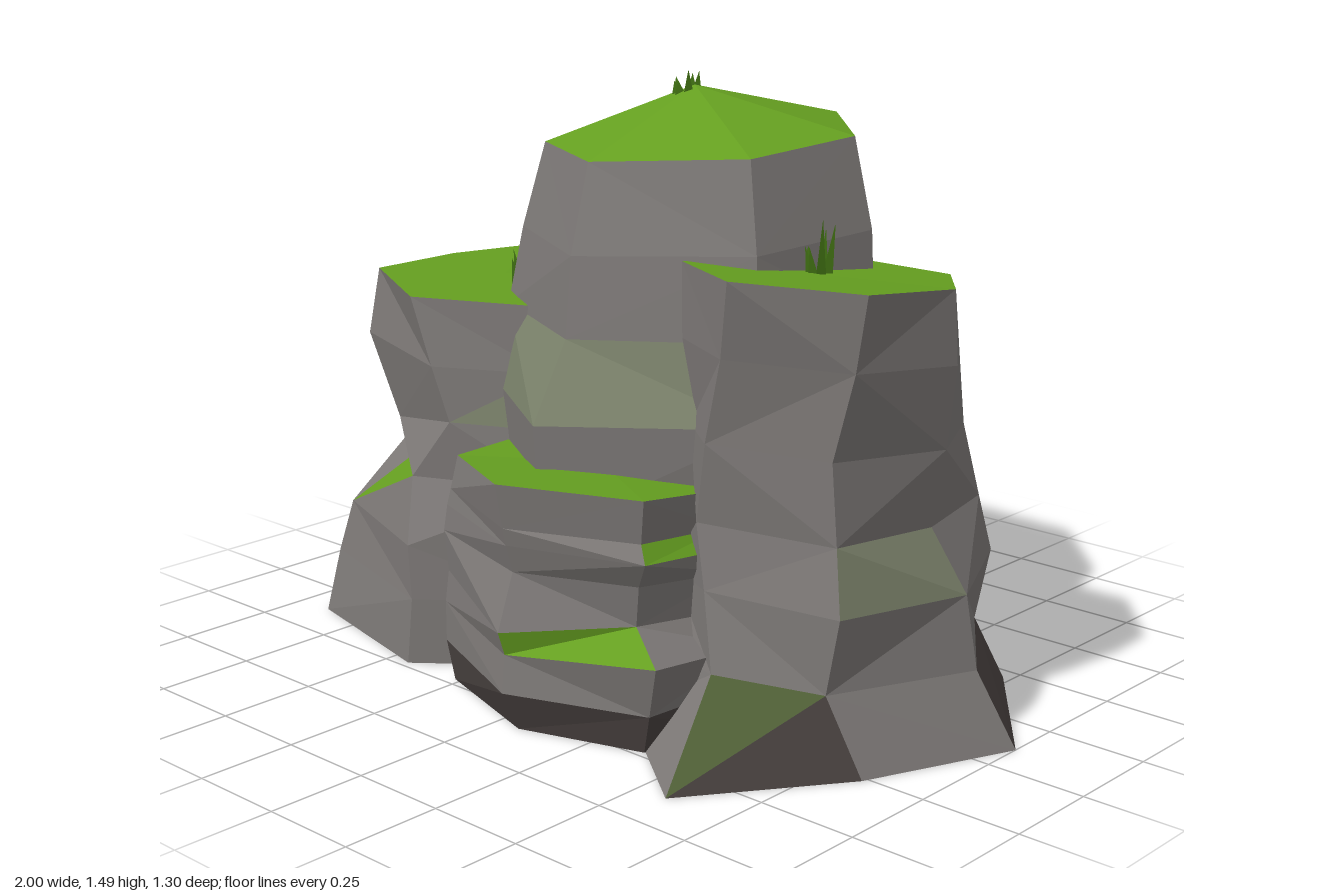
import * as THREE from 'three';

const paint = (name, color) => Object.assign(new THREE.MeshStandardMaterial({ color }), { name });
const MATERIALS = [
  paint('stone', 0x7d7977),
  paint('darkStone', 0x4a4341),
  paint('grass', 0x659f20),
  paint('moss', 0x7a816a),
  paint('darkMoss', 0x4c5c34),
  paint('grassBlade', 0x447614),
  paint('underside', 0x242222),
];
const [STONE, DARK, GRASS, MOSS, DARK_MOSS, BLADE, UNDER] = MATERIALS.keys();

// Faceted rock column: rings run from base to top as [height, radii per corner].
// nudges: [ring, corner, dx, dy, dz] moves one corner.
// patches: [band, side, material, half] paints a face, or one triangle of it.
function rock({ name, centre, angles, rings, tilt, apex, nudges, patches }) {
  const n = angles.length;
  const top = rings.length - 1;
  const points = rings.map(([y, radii], level) => radii.map((r, i) => {
    const a = THREE.MathUtils.degToRad(angles[i]);
    const x = r * Math.sin(a), z = r * Math.cos(a);
    const lean = level / top;
    return [centre[0] + x, y + lean * (tilt[0] * x + tilt[1] * z), centre[1] + z];
  }));
  for (const [ring, corner, ...move] of nudges) {
    move.forEach((d, axis) => { points[ring][corner][axis] += d; });
  }
  const buckets = MATERIALS.map(() => []);
  const tri = (m, a, b, c) => buckets[m].push(...a, ...b, ...c);

  // Faceted sides, with the diagonal alternating from face to face
  for (let k = 0; k < top; k++) {
    for (let i = 0; i < n; i++) {
      const j = (i + 1) % n;
      const a = points[k][i], b = points[k][j], c = points[k + 1][j], d = points[k + 1][i];
      const halves = (k + i) % 2 ? [[a, b, d], [b, c, d]] : [[a, b, c], [a, c, d]];
      halves.forEach((corners, h) => {
        const patch = patches.find(([band, side, , half = h]) => band === k && side === i && half === h);
        tri(patch ? patch[2] : STONE, ...corners);
      });
    }
  }
  // Grassy top and slightly hollow underside
  for (let i = 0; i < n; i++) {
    const j = (i + 1) % n;
    tri(GRASS, points[top][i], points[top][j], [centre[0], apex, centre[1]]);
    tri(UNDER, points[0][j], points[0][i], [centre[0], 0.03, centre[1]]);
  }

  const geometry = new THREE.BufferGeometry();
  let start = 0;
  buckets.forEach((bucket, m) => {
    if (!bucket.length) return;
    geometry.addGroup(start, bucket.length / 3, m);
    start += bucket.length / 3;
  });
  geometry.setAttribute('position', new THREE.Float32BufferAttribute(buckets.flat(), 3));
  geometry.computeVertexNormals();
  const mesh = new THREE.Mesh(geometry, MATERIALS);
  mesh.name = name;
  return mesh;
}

// Small clump of pointed, outward-leaning blades
function grassTuft(name, x, y, z, height, spread) {
  const tuft = new THREE.Group();
  tuft.name = name;
  for (let i = 0; i < 6; i++) {
    const a = i * 2.4;
    const h = height * (0.5 + 0.5 * ((i * 3) % 5) / 4);
    const geometry = new THREE.ConeGeometry(0.015, h, 3).toNonIndexed();
    geometry.translate(0, h / 2, 0);
    geometry.computeVertexNormals();
    const blade = new THREE.Mesh(geometry, MATERIALS[BLADE]);
    blade.name = 'grassBlade';
    blade.position.set(Math.sin(a) * spread, -0.01, Math.cos(a) * spread);
    blade.rotation.set(Math.cos(a) * 0.16, 0, -Math.sin(a) * 0.16);
    tuft.add(blade);
  }
  tuft.position.set(x, y, z);
  return tuft;
}

export function createModel() {
  const model = new THREE.Group();
  model.name = 'mossyRocks';

  model.add(rock({
    name: 'centreRock', centre: [0.02, -0.09], apex: 1.45, tilt: [0.04, -0.085],
    angles: [0, 59, 100, 150, 208, 260, 304],
    rings: [
      [0, [0.5, 0.5, 0.5, 0.48, 0.65, 0.5, 0.5]],
      [0.27, [0.5, 0.5, 0.5, 0.45, 0.58, 0.52, 0.5]],
      [0.46, [0.54, 0.5, 0.48, 0.52, 0.46, 0.46, 0.5]],
      [0.73, [0.56, 0.55, 0.5, 0.53, 0.45, 0.48, 0.52]],
      [0.92, [0.45, 0.5, 0.5, 0.44, 0.42, 0.53, 0.47]],
      [1.12, [0.43, 0.48, 0.49, 0.43, 0.44, 0.42, 0.43]],
      [1.335, [0.37, 0.43, 0.44, 0.37, 0.4, 0.4, 0.4]],
    ],
    nudges: [[6, 5, 0.01, -0.06, 0], [6, 6, 0.02, 0, -0.02], [4, 5, 0, 0.03, 0], [2, 4, 0, -0.04, 0]],
    patches: [[0, 3, DARK], [0, 4, DARK], [1, 4, GRASS], [1, 3, MOSS, 0], [3, 0, MOSS], [3, 6, MOSS], [4, 4, GRASS, 0]],
  }));

  model.add(rock({
    name: 'leftRock', centre: [0.52, 0.03], apex: 1.068, tilt: [0, 0.11],
    angles: [6, 54, 106, 157, 208, 253, 311],
    rings: [
      [0, [0.6, 0.4, 0.5, 0.53, 0.45, 0.4, 0.45]],
      [0.18, [0.34, 0.35, 0.4, 0.44, 0.42, 0.36, 0.4]],
      [0.36, [0.34, 0.38, 0.37, 0.48, 0.42, 0.34, 0.34]],
      [0.51, [0.31, 0.35, 0.28, 0.44, 0.4, 0.3, 0.26]],
      [0.7, [0.33, 0.36, 0.31, 0.39, 0.38, 0.28, 0.3]],
      [0.9, [0.35, 0.37, 0.33, 0.37, 0.38, 0.28, 0.32]],
      [1.075, [0.38, 0.37, 0.32, 0.34, 0.36, 0.28, 0.32]],
    ],
    nudges: [
      [1, 0, -0.07, 0, 0], [1, 1, -0.05, 0, 0.05], [2, 0, -0.11, 0, -0.02], [2, 1, -0.04, 0, 0.03],
      [3, 0, -0.14, 0, 0], [3, 1, -0.05, 0, 0.02], [4, 0, -0.1, 0, 0], [4, 1, -0.07, 0, 0.02], [5, 0, -0.04, 0, 0], [5, 1, -0.03, 0, 0],
    ],
    patches: [[0, 0, DARK, 0], [0, 0, DARK_MOSS, 1], [0, 2, DARK], [0, 3, DARK], [2, 1, MOSS]],
  }));

  model.add(rock({
    name: 'rightRock', centre: [-0.5, 0.06], apex: 0.935, tilt: [-0.05, 0],
    angles: [3, 64, 120, 165, 214, 257, 308],
    rings: [
      [0, [0.42, 0.4, 0.4, 0.45, 0.5, 0.51, 0.5]],
      [0.17, [0.41, 0.4, 0.38, 0.42, 0.46, 0.39, 0.46]],
      [0.31, [0.41, 0.4, 0.36, 0.4, 0.45, 0.38, 0.44]],
      [0.47, [0.35, 0.4, 0.34, 0.38, 0.47, 0.43, 0.34]],
      [0.62, [0.33, 0.38, 0.32, 0.37, 0.37, 0.31, 0.34]],
      [0.76, [0.33, 0.35, 0.31, 0.37, 0.38, 0.33, 0.36]],
      [0.93, [0.34, 0.34, 0.3, 0.36, 0.37, 0.27, 0.33]],
    ],
    nudges: [
      [0, 0, 0.04, 0, 0], [1, 0, 0.05, 0, 0], [2, 0, 0.04, 0, 0], [4, 0, 0.1, 0, -0.02], [5, 0, 0.06, 0, 0],
      [2, 6, 0.03, 0, 0], [3, 6, 0.08, -0.035, -0.03], [4, 6, 0.08, -0.07, 0],
    ],
    patches: [[0, 4, DARK], [0, 5, DARK], [2, 6, GRASS, 1], [3, 5, MOSS, 1], [3, 4, MOSS], [4, 0, MOSS, 0]],
  }));

  model.add(rock({
    name: 'frontRock', centre: [0.07, 0.3], apex: 0.595, tilt: [0, 0.07],
    angles: [0, 60, 105, 155, 205, 255, 297],
    rings: [
      [0, [0.28, 0.36, 0.35, 0.3, 0.3, 0.35, 0.38]],
      [0.1, [0.33, 0.4, 0.38, 0.3, 0.3, 0.36, 0.4]],
      [0.2, [0.32, 0.45, 0.4, 0.3, 0.3, 0.36, 0.4]],
      [0.28, [0.35, 0.3, 0.34, 0.3, 0.3, 0.36, 0.39]],
      [0.38, [0.29, 0.32, 0.36, 0.3, 0.3, 0.36, 0.4]],
      [0.445, [0.31, 0.37, 0.37, 0.3, 0.3, 0.35, 0.39]],
      [0.485, [0.32, 0.34, 0.33, 0.3, 0.3, 0.35, 0.38]],
      [0.59, [0.34, 0.36, 0.34, 0.3, 0.3, 0.34, 0.36]],
    ],
    nudges: [[2, 0, 0, -0.01, 0], [2, 1, 0, 0.03, 0], [3, 0, 0, -0.035, -0.01], [7, 2, 0, -0.01, 0], [7, 6, 0, -0.02, 0]],
    patches: [[0, 0, DARK], [0, 1, DARK], [0, 6, DARK], [2, 0, GRASS], [5, 1, GRASS]],
  }));

  model.add(
    grassTuft('topTuft', 0, 1.44, -0.08, 0.06, 0.024),
    grassTuft('leftTuft', 0.49, 1.07, 0.01, 0.14, 0.02),
    grassTuft('rightTuft', -0.4, 0.94, 0.09, 0.13, 0.02),
  );
  return model;
}
